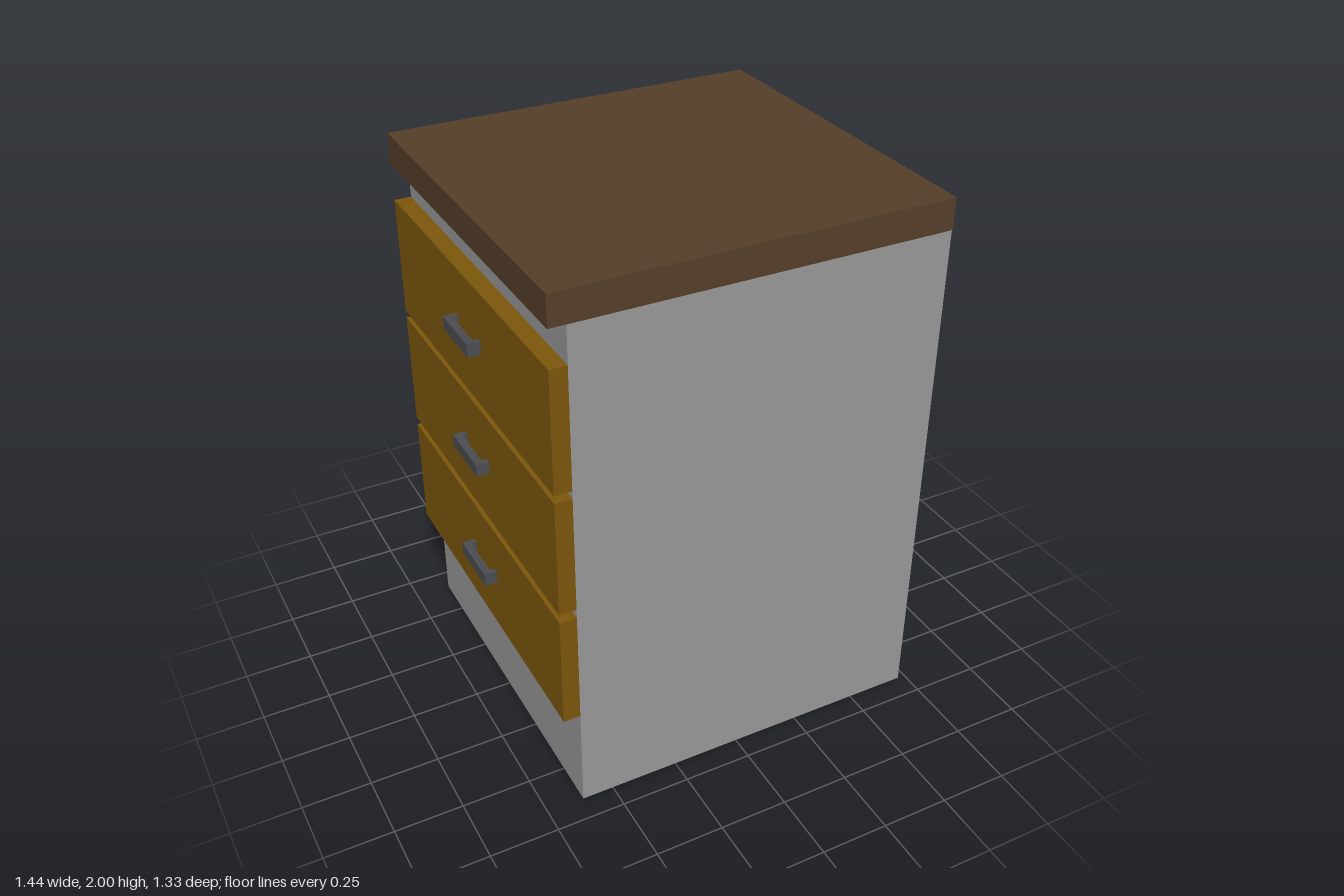
import * as THREE from 'three';

const grey = new THREE.MeshStandardMaterial({ color: 0x979797 });
const darkWood = new THREE.MeshStandardMaterial({ color: 0x543e28 });
const lightWood = new THREE.MeshStandardMaterial({ color: 0x7c560c });
const metal = new THREE.MeshStandardMaterial({ color: 0x4a4c50 });

// Box given by its minimum and maximum corners
function box(name, material, [x0, y0, z0], [x1, y1, z1]) {
  const mesh = new THREE.Mesh(new THREE.BoxGeometry(x1 - x0, y1 - y0, z1 - z0), material);
  mesh.position.set((x0 + x1) / 2, (y0 + y1) / 2, (z0 + z1) / 2);
  mesh.name = name;
  return mesh;
}

// U-shaped pull, extruded upwards from its plan outline
function handle(y) {
  const outline = [
    [-0.675, -0.10], [-0.722, -0.10], [-0.722, 0.115], [-0.675, 0.115],
    [-0.675, 0.093], [-0.695, 0.093], [-0.695, -0.078], [-0.675, -0.078],
  ];
  const shape = new THREE.Shape(outline.map(([x, z]) => new THREE.Vector2(x, -z)));
  const geometry = new THREE.ExtrudeGeometry(shape, { depth: 0.047, bevelEnabled: false });
  geometry.rotateX(-Math.PI / 2);
  const mesh = new THREE.Mesh(geometry, metal);
  mesh.position.y = y;
  mesh.name = 'handle';
  return mesh;
}

export function createModel() {
  const cabinet = new THREE.Group();
  cabinet.name = 'drawerCabinet';

  // Carcass and worktop
  cabinet.add(box('carcass', grey, [-0.615, 0, -0.66], [0.721, 1.889, 0.662]));
  cabinet.add(box('worktop', darkWood, [-0.676, 1.889, -0.666], [0.722, 2, 0.666]));

  // Three drawers, each with its pull: bottom, top and handle heights
  for (const [bottom, top, pull] of [[0.393, 0.82, 0.597], [0.853, 1.287, 1.064], [1.315, 1.754, 1.526]]) {
    const drawer = new THREE.Group();
    drawer.name = 'drawer';
    drawer.add(box('drawerFront', lightWood, [-0.676, bottom, -0.66], [-0.615, top, 0.662]));
    drawer.add(handle(pull));
    cabinet.add(drawer);
  }
  return cabinet;
}
